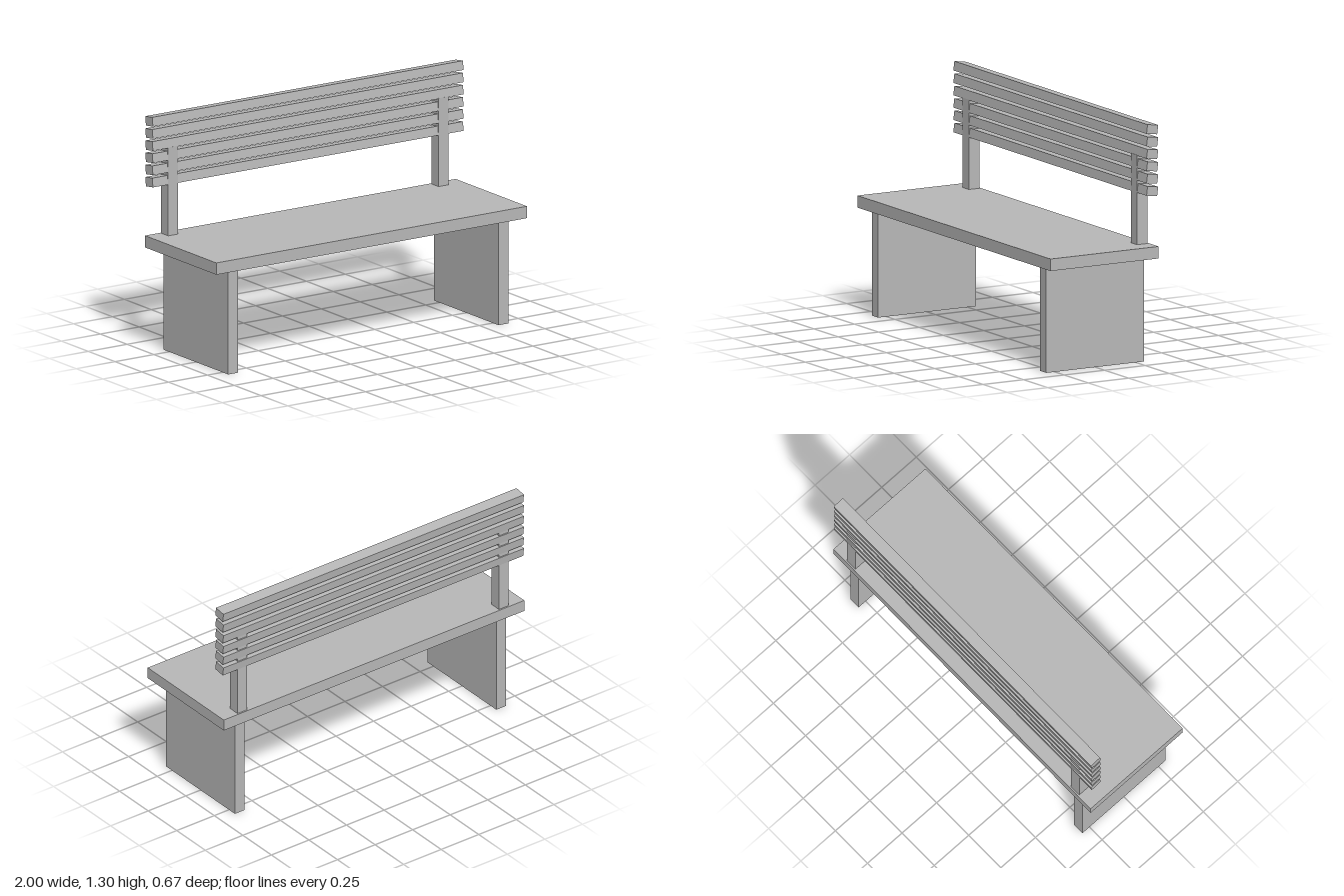
import * as THREE from 'three';

export function createModel() {
  const bench = new THREE.Group();
  bench.name = 'bench';
  const grey = new THREE.MeshStandardMaterial({ color: 0xb8b8b8 });
  grey.name = 'plain grey';

  const addBox = (name, [w, h, d], [x, y, z], tilt = 0) => {
    const mesh = new THREE.Mesh(new THREE.BoxGeometry(w, h, d), grey);
    mesh.name = name;
    mesh.position.set(x, y, z);
    mesh.rotation.x = tilt;
    bench.add(mesh);
  };

  // Seat plank
  addBox('seat', [2, 0.065, 0.666], [0, 0.6025, 0]);

  // Slab legs and the backrest posts standing above them
  const postTop = 1.12, seatTop = 0.635;
  for (const [side, s] of [['left', 1], ['right', -1]]) {
    addBox(`${side}Leg`, [0.064, 0.57, 0.604], [s * 0.87, 0.285, 0]);
    addBox(`${side}Post`, [0.064, postTop - seatTop, 0.066], [s * 0.87, (postTop + seatTop) / 2, -0.291]);
  }

  // Backrest slats, each leaning slightly back
  for (let i = 0; i < 6; i++) {
    addBox(`backSlat${i + 1}`, [2, 0.05, 0.066], [0, 0.937 + i * 0.0668, -0.2945], -0.13);
  }
  return bench;
}
